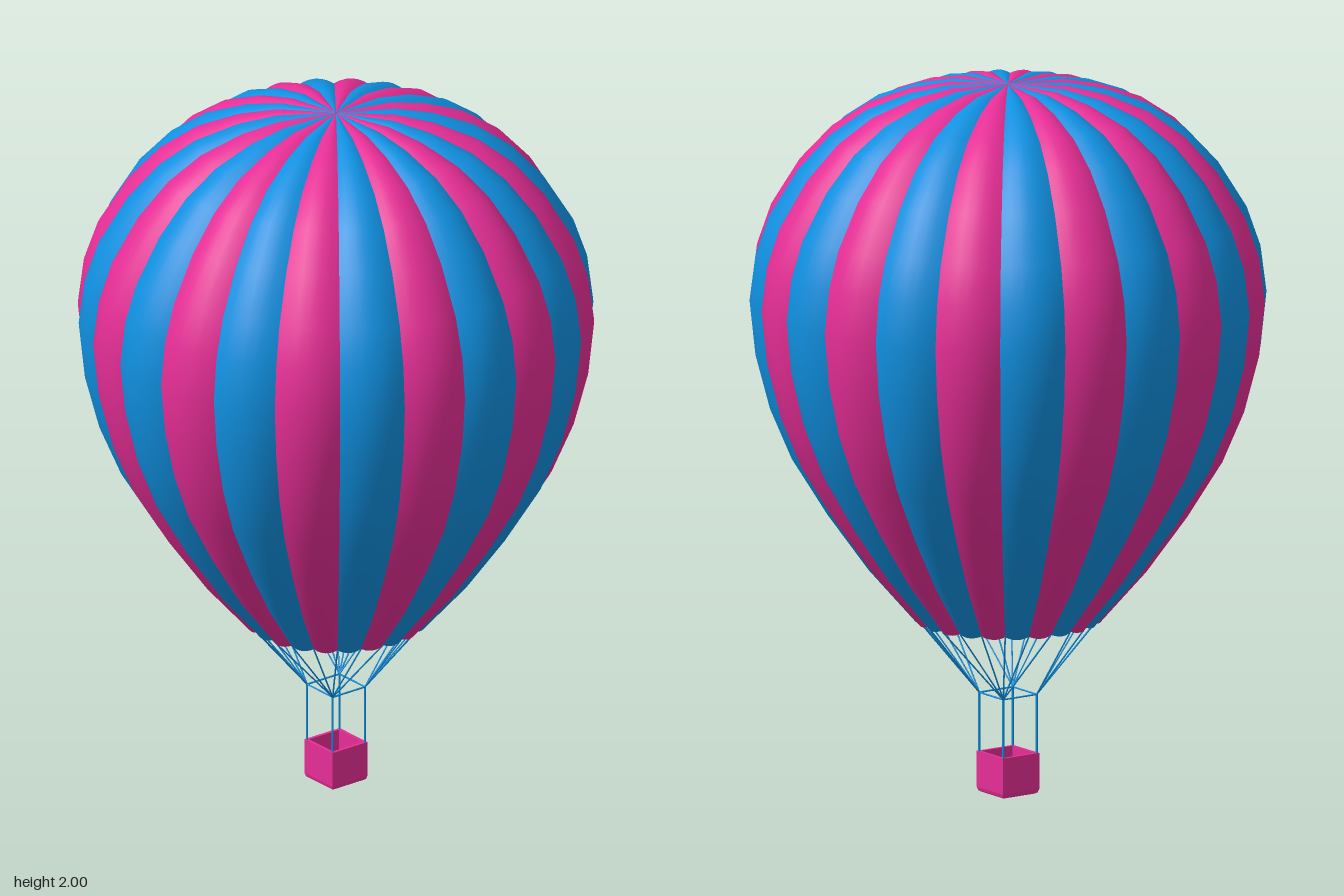
import * as THREE from 'three';

const GORES = 24;
const STEP = (Math.PI * 2) / GORES;
const PINK = 0xe62e96, BLUE = 0x1090e0;

// Seam profile from crown to mouth: [radius, height]
const PROFILE = [
  [0.001, 1.998], [0.165, 1.99], [0.27, 1.965], [0.385, 1.917], [0.48, 1.848],
  [0.565, 1.752], [0.64, 1.625], [0.675, 1.52], [0.69, 1.4], [0.675, 1.255],
  [0.637, 1.105], [0.58, 0.965], [0.485, 0.805], [0.375, 0.645], [0.25, 0.495],
];

// Point at azimuth a, measured from +z towards +x
const polar = (r, y, a) => new THREE.Vector3(r * Math.sin(a), y, r * Math.cos(a));

// One fabric panel: a grid stretched between two seams and puffed along the normal
function goreGeometry() {
  const across = 6, down = PROFILE.length - 1;
  const geo = new THREE.PlaneGeometry(1, 1, across, down);
  const pos = geo.attributes.position;
  for (let j = 0; j <= down; j++) {
    const [r, y] = PROFILE[j];
    const [r0, y0] = PROFILE[Math.max(j - 1, 0)];
    const [r1, y1] = PROFILE[Math.min(j + 1, down)];
    const len = Math.hypot(r1 - r0, y1 - y0);
    const nr = (y0 - y1) / len, ny = (r1 - r0) / len;
    const left = polar(r, y, 0), right = polar(r, y, STEP);
    for (let i = 0; i <= across; i++) {
      const t = i / across;
      const puff = 0.042 * r * 4 * t * (1 - t);
      const p = left.clone().lerp(right, t).add(polar(nr * puff, ny * puff, STEP * t));
      pos.setXYZ(j * (across + 1) + i, p.x, p.y, p.z);
    }
  }
  geo.computeVertexNormals();
  return geo;
}

// Thin round bar between two points
function rod(name, a, b, radius, material) {
  const dir = b.clone().sub(a);
  const mesh = new THREE.Mesh(new THREE.CylinderGeometry(radius, radius, dir.length(), 6), material);
  mesh.position.copy(a).add(b).multiplyScalar(0.5);
  mesh.quaternion.setFromUnitVectors(new THREE.Vector3(0, 1, 0), dir.normalize());
  mesh.name = name;
  return mesh;
}

export function createModel() {
  const model = new THREE.Group();
  model.name = 'hotAirBalloon';
  const fabric = [BLUE, PINK].map(
    (color) => new THREE.MeshStandardMaterial({ color, side: THREE.DoubleSide }));
  const ropeMat = new THREE.MeshStandardMaterial({ color: BLUE });

  // Envelope of alternating panels
  const envelope = new THREE.Group();
  envelope.name = 'envelope';
  const gore = goreGeometry();
  for (let i = 0; i < GORES; i++) {
    const panel = new THREE.Mesh(gore, fabric[i % 2]);
    panel.rotation.y = i * STEP;
    panel.name = 'envelopePanel';
    envelope.add(panel);
  }
  model.add(envelope);

  // Each corner of the load frame gathers the ropes of six seams
  const rigging = new THREE.Group();
  rigging.name = 'rigging';
  const [mouthR, mouthY] = PROFILE[PROFILE.length - 1];
  const frameY = 0.28, frameR = 0.08;
  for (let k = 0; k < 4; k++) {
    const angle = (k * 6 + 3.5) * STEP;
    const corner = polar(frameR, frameY, angle);
    for (let s = 1; s <= 6; s++) {
      rigging.add(rod('rope', polar(mouthR, mouthY, (k * 6 + s) * STEP), corner, 0.0022, ropeMat));
    }
    rigging.add(rod('frameBar', corner, polar(frameR, frameY, angle + Math.PI / 2), 0.0025, ropeMat));
    rigging.add(rod('basketPost', corner, polar(frameR, 0.1, angle), 0.003, ropeMat));
  }
  model.add(rigging);

  // Open square basket with a bevelled bottom
  const section = [[0, 0], [0.074, 0], [0.083, 0.004], [0.087, 0.014], [0.087, 0.115],
    [0.074, 0.115], [0.074, 0.015], [0, 0.015]].map(([r, y]) => new THREE.Vector2(r, y));
  const basket = new THREE.Mesh(
    new THREE.LatheGeometry(section, 4, 3.5 * STEP),
    new THREE.MeshStandardMaterial({ color: PINK, flatShading: true, side: THREE.DoubleSide }));
  basket.name = 'basket';
  model.add(basket);

  return model;
}
